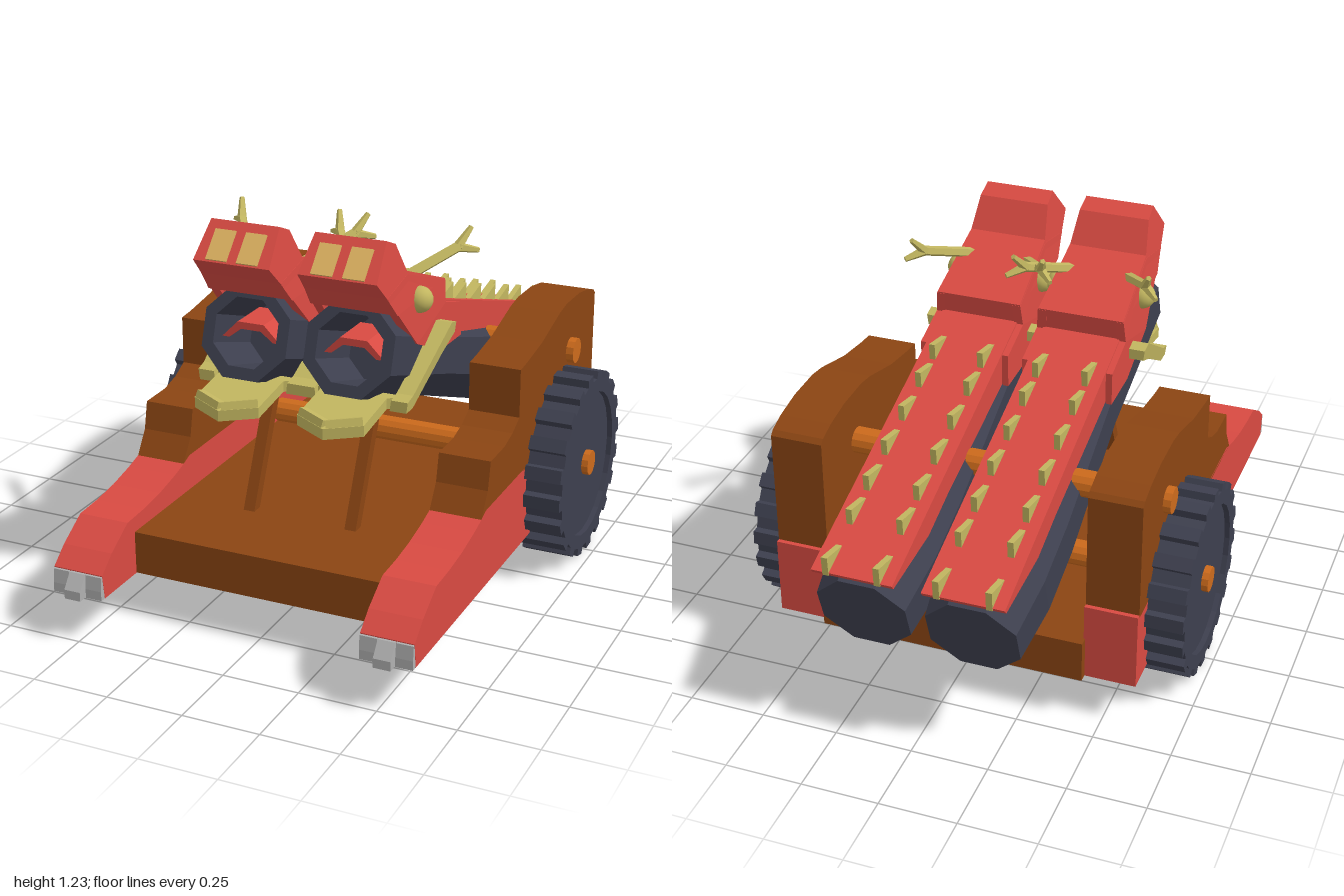
import * as THREE from 'three';

const mat = (color, opts = {}) => new THREE.MeshStandardMaterial({ color, flatShading: true, ...opts });
const RED = mat(0xd84a42), BROWN = mat(0x8b4513), ORANGE = mat(0xcc6a1c), DARK = mat(0x3d3f4e);
const BONE = mat(0xc2b660), TAN = mat(0xdcb160), GREY = mat(0xb0b0b0), EYE = mat(0xc2b660, { flatShading: false });

function add(parent, name, geometry, material, x = 0, y = 0, z = 0) {
  const mesh = new THREE.Mesh(geometry, material);
  mesh.name = name;
  mesh.position.set(x, y, z);
  parent.add(mesh);
  return mesh;
}

const shapeOf = (pts) => new THREE.Shape(pts.map(([a, b]) => new THREE.Vector2(a, b)));

// Side outline of [z, y] points, given a width along x and centred on x = 0
function sideExtrude(shape, width) {
  const g = new THREE.ExtrudeGeometry(shape, { depth: width, bevelEnabled: false });
  g.translate(0, 0, -width / 2);
  return g.rotateY(-Math.PI / 2);
}

// Tapered rod between two points
function rod(parent, name, a, b, r1, r2, material, sides = 5) {
  const p = new THREE.Vector3(...a), q = new THREE.Vector3(...b);
  const mesh = add(parent, name, new THREE.CylinderGeometry(r2, r1, p.distanceTo(q), sides), material);
  mesh.position.copy(p).lerp(q, 0.5);
  mesh.quaternion.setFromUnitVectors(new THREE.Vector3(0, 1, 0), q.sub(p).normalize());
}

function makeSide(s) {
  const side = new THREE.Group();
  side.name = s > 0 ? 'leftSide' : 'rightSide';
  side.position.x = s * 0.515;
  // Leg base with a sloping paw
  add(side, 'leg', sideExtrude(shapeOf([[0.95, 0.14], [0.96, 0.22], [0.9, 0.27], [0.8, 0.33], [0.7, 0.335],
    [0.6, 0.347], [0.5, 0.368], [0.44, 0.385], [0.4, 0.4], [-0.64, 0.4], [-0.64, 0.14]]), 0.17), RED);
  // Stepped upper wall
  add(side, 'wall', sideExtrude(shapeOf([[0.44, 0.385], [0.39, 0.46], [0.37, 0.55], [0.25, 0.552], [0.18, 0.57],
    [0.12, 0.6], [0.12, 0.76], [0.06, 0.765], [-0.08, 0.785], [-0.25, 0.83], [-0.32, 0.84], [-0.45, 0.837],
    [-0.55, 0.82], [-0.61, 0.8], [-0.625, 0.785], [-0.625, 0.39], [0.42, 0.39]]), 0.17), BROWN);
  // Three claws, the middle one longest
  for (const i of [-1, 0, 1]) {
    const tip = i ? 0.97 : 1;
    add(side, 'claw', sideExtrude(shapeOf([[0.9, 0.14], [tip, 0.14], [tip, 0.17], [0.965, 0.215], [0.9, 0.24]]), 0.055),
      GREY, i * 0.057);
  }
  return side;
}

function makeWheel(s) {
  const wheel = new THREE.Group();
  wheel.name = s > 0 ? 'leftWheel' : 'rightWheel';
  wheel.position.set(s * 0.64, 0.315, -0.255);
  const pts = [], teeth = 20;
  for (let i = 0; i < teeth; i++) {
    for (const [f, r] of [[0, 0.29], [0.45, 0.29], [0.5, 0.315], [0.95, 0.315]]) {
      const a = ((i + f) / teeth) * Math.PI * 2;
      pts.push([Math.cos(a) * r, Math.sin(a) * r]);
    }
  }
  const tread = shapeOf(pts);
  tread.holes.push(new THREE.Path().absarc(0, 0, 0.245, 0, Math.PI * 2, true));
  add(wheel, 'tyre', sideExtrude(tread, 0.165), DARK);
  add(wheel, 'wheelDisc', new THREE.CylinderGeometry(0.248, 0.248, 0.13, 32).rotateZ(Math.PI / 2), DARK);
  return wheel;
}

// Half width of the head, narrowing upward
const headHalf = (y) => 0.15 - Math.max(0, y - 0.95) * 0.12;

function makeCannon(cx) {
  const cannon = new THREE.Group();
  cannon.name = cx > 0 ? 'leftCannon' : 'rightCannon';
  cannon.position.x = cx;

  // Eight-sided bulging barrel with an open muzzle
  const profile = [[0, 0], [0.155, 0], [0.179, 0.2], [0.179, 0.42], [0.155, 0.95], [0.157, 1.467], [0.116, 1.467],
    [0.108, 1.22], [0, 1.22]].map(([r, t]) => new THREE.Vector2(r, t));
  const barrel = add(cannon, 'barrel', new THREE.LatheGeometry(profile, 8, Math.PI / 8), DARK, 0, 0.415, -0.915);
  barrel.rotation.x = Math.PI / 2 - 0.326;

  // Arched tongue inside the muzzle
  const arch = shapeOf([[-0.1, 0.85], [-0.045, 0.905], [0.045, 0.905], [0.1, 0.85], [0.075, 0.85], [0.035, 0.882],
    [-0.035, 0.882], [-0.075, 0.85]]);
  add(cannon, 'tongue', new THREE.ExtrudeGeometry(arch, { depth: 0.15, bevelEnabled: false }), RED, 0, 0, 0.29);

  // Hide lying along the barrel
  add(cannon, 'hide', sideExtrude(shapeOf([[0.1, 0.945], [-0.99, 0.595], [-0.98, 0.58], [-0.62, 0.6],
    [-0.07, 0.775], [0, 0.8]]), 0.26), RED);
  // Two rows of back spikes
  for (const z of [-0.1, -0.22, -0.36, -0.5, -0.64, -0.77, -0.95]) {
    const y = (k) => 0.913 + 0.321 * k;
    const spike = shapeOf([[z + 0.08, y(z + 0.08) - 0.01], [z - 0.04, y(z - 0.04) - 0.01], [z - 0.045, y(z) + 0.042]]);
    for (const s of [-1, 1]) add(cannon, 'spike', sideExtrude(spike, 0.02), BONE, s * 0.082);
  }

  // Skull and snout
  const skull = sideExtrude(shapeOf([[0.075, 0.92], [0.06, 1.005], [0.34, 1.11], [0.4, 1.21], [0.46, 1.235],
    [0.56, 1.13], [0.5, 1.07], [0.44, 1.0]]), 2);
  const p = skull.attributes.position;
  for (let i = 0; i < p.count; i++) p.setX(i, p.getX(i) * headHalf(p.getY(i)));
  add(cannon, 'skull', skull, RED);
  // Cheeks hugging the barrel
  const cheekShape = shapeOf([[0.5, 1.07], [0.3, 0.865], [0.1, 0.78], [-0.07, 0.775], [-0.07, 0.885], [0.07, 0.93],
    [0.06, 1.0], [0.34, 1.1]]);
  for (const s of [-1, 1]) {
    const cheek = sideExtrude(cheekShape, 0.03);
    const c = cheek.attributes.position;
    for (let i = 0; i < c.count; i++) c.setX(i, c.getX(i) + s * (headHalf(c.getY(i)) - 0.014));
    add(cannon, 'cheek', cheek, RED);
    add(cannon, 'eye', new THREE.SphereGeometry(0.042, 16, 12), EYE, s * 0.145, 1.0, 0.27);
    // Nostril panel on the sloping snout face
    const nostril = add(cannon, 'nostril', new THREE.BoxGeometry(0.07, 0.105, 0.012), TAN, s * 0.052, 1.172, 0.52);
    nostril.rotation.x = -0.76;
    // Forked horn
    const fork = [s * 0.2, 1.125, 0.1];
    rod(cannon, 'hornStem', [s * 0.09, 1.06, 0.27], fork, 0.018, 0.017, BONE);
    rod(cannon, 'hornTine', fork, [s * 0.25, 1.108, 0.05], 0.017, 0.009, BONE);
    rod(cannon, 'hornTine', fork, [s * 0.225, 1.18, 0.05], 0.017, 0.009, BONE);
    // Jaw arm rising to the hinge
    const arm = add(cannon, 'jawArm', sideExtrude(shapeOf([[0.15, 0.895], [0.11, 0.885], [0.11, 0.85], [0.2, 0.81],
      [0.4, 0.695], [0.45, 0.695], [0.45, 0.73], [0.41, 0.74]]), 0.055), BONE, s * 0.165);
    const a = arm.geometry.attributes.position;
    for (let i = 0; i < a.count; i++) a.setX(i, a.getX(i) + s * (a.getY(i) - 0.8) * 0.13);
  }

  // Pointed lower jaw plate with a raised lip
  const outline = [[-0.16, -0.4], [-0.11, -0.44], [-0.11, -0.61], [0, -0.665], [0.11, -0.61], [0.11, -0.44], [0.16, -0.4]];
  const plate = new THREE.ExtrudeGeometry(shapeOf(outline), { depth: 0.035, bevelEnabled: false }).rotateX(-Math.PI / 2);
  const q = plate.attributes.position;
  for (let i = 0; i < q.count; i++) q.setY(i, q.getY(i) + 0.695 - Math.max(0, q.getZ(i) - 0.44) * 0.15);
  add(cannon, 'jawPlate', plate, BONE);
  for (const s of [-1, 1]) rod(cannon, 'jawLip', [s * 0.1, 0.71, 0.595], [0, 0.702, 0.645], 0.02, 0.02, BONE, 4);
  return cannon;
}

export function createModel() {
  const model = new THREE.Group();
  model.name = 'twinCannonCart';
  add(model, 'floor', new THREE.BoxGeometry(0.87, 0.14, 1.43), BROWN, 0, 0.211, 0.045);
  // Wheel axle and the barrel pivot bar
  const axle = (name, r, length, y, z) =>
    add(model, name, new THREE.CylinderGeometry(r, r, length, 12).rotateZ(Math.PI / 2), ORANGE, 0, y, z);
  axle('wheelAxle', 0.042, 1.454, 0.318, -0.257);
  axle('pivotBar', 0.043, 1.25, 0.662, -0.37);
  for (const s of [-1, 1]) {
    model.add(makeSide(s), makeWheel(s), makeCannon(s * 0.175));
    // Leaning support post
    add(model, 'supportPost', sideExtrude(shapeOf([[0.48, 0.27], [0.44, 0.27], [0.235, 0.72], [0.275, 0.72]]), 0.038),
      BROWN, s * 0.177);
  }
  return model;
}
